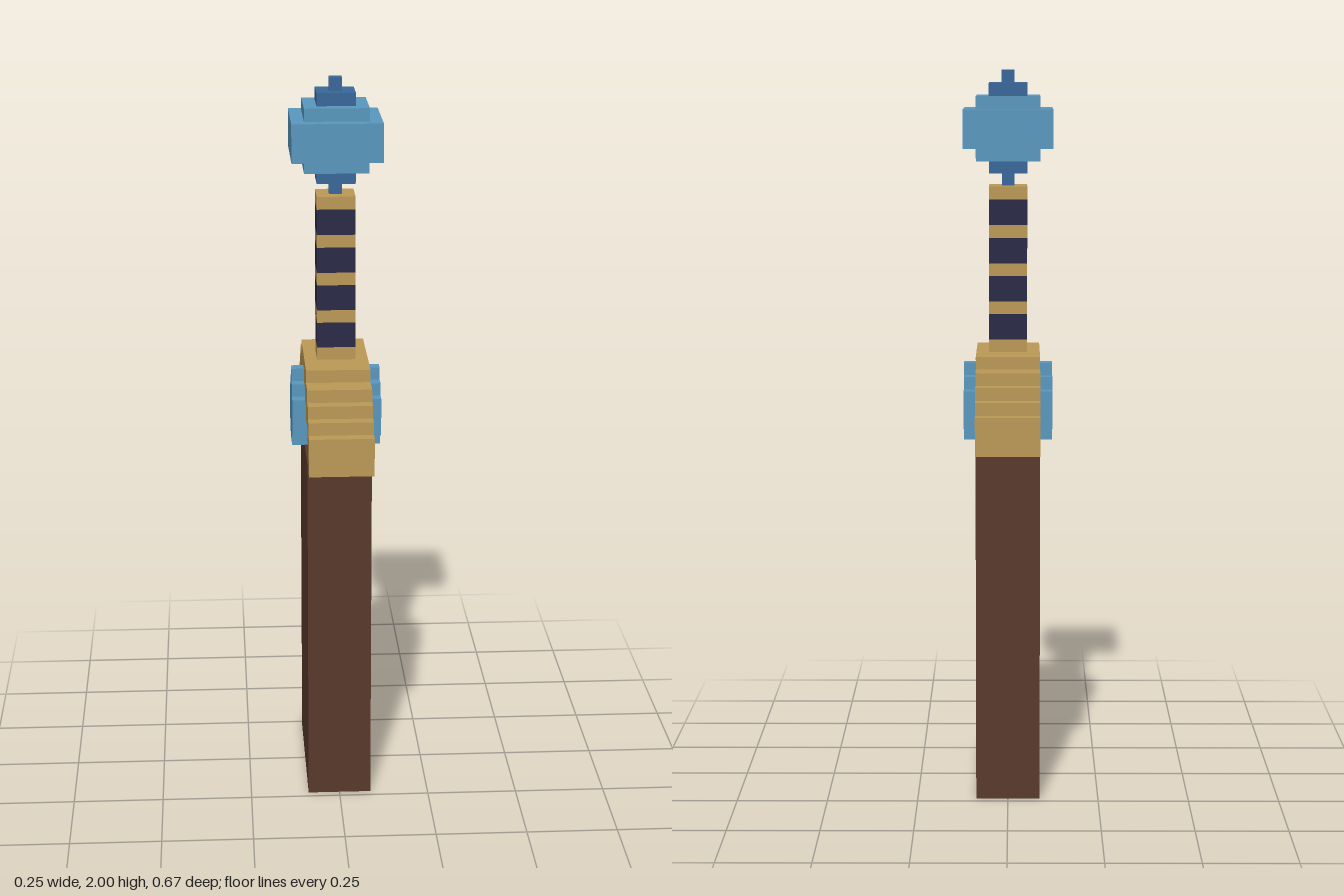
import * as THREE from 'three';

const U = 2 / 57; // one block; the model is 57 blocks tall

const material = (name, color) => {
  const m = new THREE.MeshStandardMaterial({ color });
  m.name = name;
  return m;
};

export function createModel() {
  const gold = material('gold', 0xbd9b57);
  const navy = material('navy wrap', 0x2b2b48);
  const blue = material('light blue gem', 0x5a99c0);
  const deepBlue = material('deep blue gem', 0x3a699b);
  const brown = material('brown leather', 0x5a3a2d);

  const model = new THREE.Group();
  model.name = 'sheathedSword';

  const add = (parent, name, geometry, mat) => {
    const mesh = new THREE.Mesh(geometry, mat);
    mesh.name = name;
    parent.add(mesh);
    return mesh;
  };
  const group = (name) => {
    const g = new THREE.Group();
    g.name = name;
    model.add(g);
    return g;
  };

  // Square slab from block row y0 to y1 with the given half width
  const slab = (parent, name, half, y0, y1, mat) => {
    const s = 2 * half * U;
    add(parent, name, new THREE.BoxGeometry(s, (y1 - y0) * U, s), mat)
      .position.y = (y0 + y1) / 2 * U;
  };

  // Outline in (z, y) blocks, mirrored about z = 0 and extruded across x
  const mirroredPlate = (name, right, halfX, mat) => {
    const left = right.map(([z, y]) => [-z, y]).reverse();
    const shape = new THREE.Shape([...right, ...left].map(([z, y]) => new THREE.Vector2(z * U, y * U)));
    const geo = new THREE.ExtrudeGeometry(shape, { depth: 2 * halfX * U, bevelEnabled: false });
    geo.translate(0, 0, -halfX * U).rotateY(Math.PI / 2);
    add(model, name, geo, mat);
  };

  // Scabbard: hollow rectangular tube, open at both ends
  const rect = (C, x, z) => new C([[-x, -z], [x, -z], [x, z], [-x, z]].map(([a, b]) => new THREE.Vector2(a * U, b * U)));
  const section = rect(THREE.Shape, 2.5, 6.5);
  section.holes.push(rect(THREE.Path, 1.5, 5.5));
  const tube = new THREE.ExtrudeGeometry(section, { depth: 28 * U, bevelEnabled: false });
  tube.rotateX(-Math.PI / 2);
  add(model, 'scabbard', tube, brown);

  // Stepped, drooping crossguard
  mirroredPlate('crossguard', [
    [2.5, 33], [2.5, 32], [4.5, 32], [4.5, 31], [6.5, 31], [6.5, 30], [7.5, 30], [7.5, 29],
    [8.5, 29], [8.5, 28], [9.5, 28], [9.5, 31], [8.5, 31], [8.5, 32], [7.5, 32], [7.5, 33],
    [6.5, 33], [6.5, 34], [4.5, 34], [4.5, 35],
  ], 2.5, gold);

  // Gem set through the guard
  mirroredPlate('guardGem', [
    [1.5, 28], [1.5, 29], [2.5, 29], [2.5, 32], [1.5, 32], [1.5, 33], [0.5, 33], [0.5, 34],
  ], 3.5, blue);

  // Grip: gold rings alternating with dark wrapping
  const grip = group('grip');
  for (let i = 0; i < 5; i++) {
    const y = 35 + i * 3;
    slab(grip, 'gripRing', 1.5, y, y + 1, gold);
    if (i < 4) slab(grip, 'gripWrap', 1.5, y + 1, y + 3, navy);
  }

  // Pommel: stepped gem, widest in the middle
  const pommel = group('pommel');
  [
    [0.5, 48, 49, deepBlue], [1.5, 49, 50, deepBlue], [2.5, 50, 51, blue], [3.5, 51, 54, blue],
    [2.5, 54, 55, blue], [1.5, 55, 56, deepBlue], [0.5, 56, 57, deepBlue],
  ].forEach(([half, y0, y1, mat]) => slab(pommel, 'pommelStep', half, y0, y1, mat));

  return model;
}
